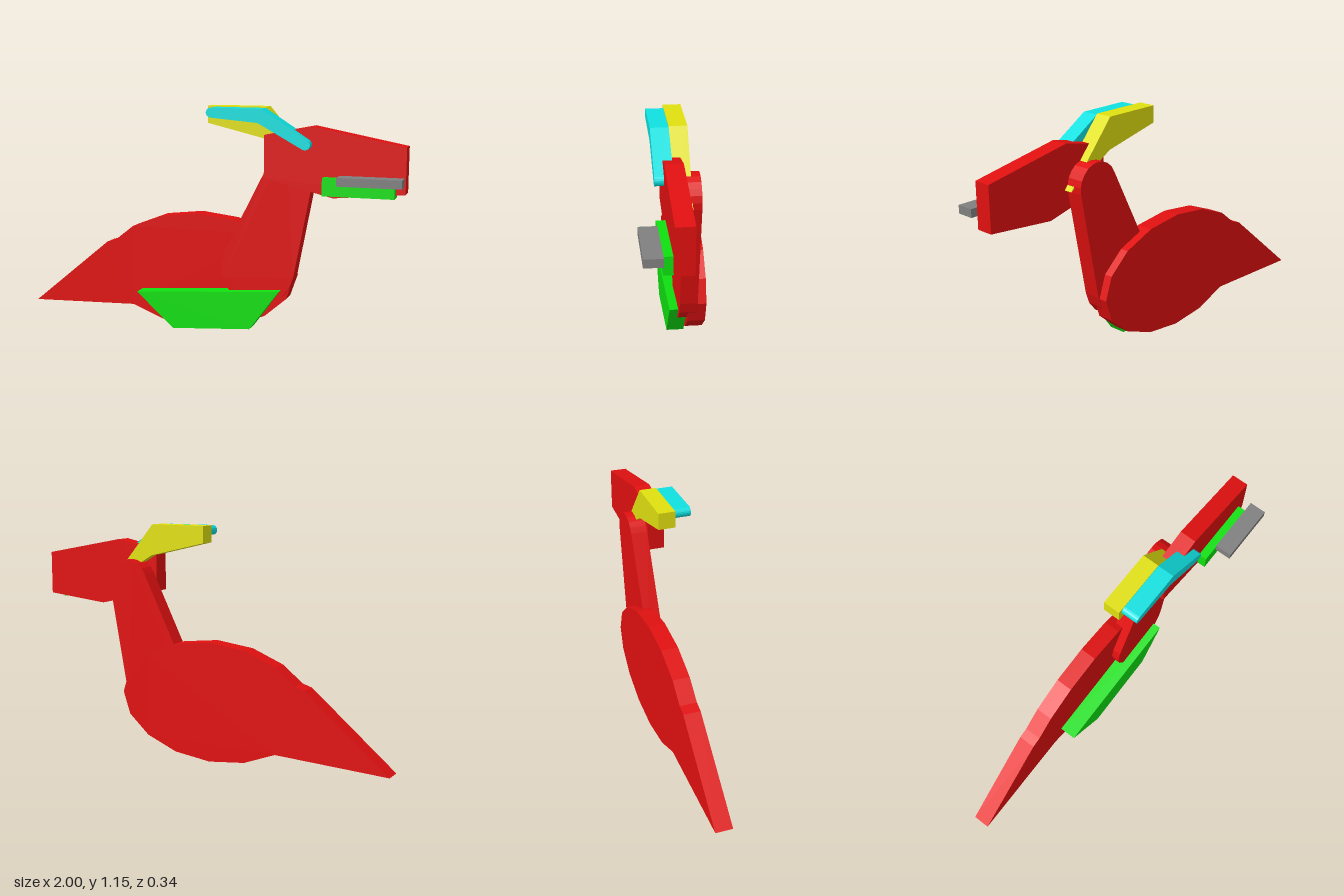
import * as THREE from 'three';

const paint = (name, color) => {
  const m = new THREE.MeshStandardMaterial({ color });
  m.name = name;
  return m;
};

// Points along an arc of an ellipse, angles in degrees
function arc(cx, cy, rx, ry, from, to, steps) {
  const pts = [];
  for (let i = 0; i <= steps; i++) {
    const a = THREE.MathUtils.degToRad(from + ((to - from) * i) / steps);
    pts.push([cx + rx * Math.cos(a), cy + ry * Math.sin(a)]);
  }
  return pts;
}

export function createModel() {
  const red = paint('red', 0xe01010);
  const green = paint('green', 0x10e010);
  const yellow = paint('yellow', 0xe0e010);
  const cyan = paint('cyan', 0x10e0e0);
  const grey = paint('grey', 0x808080);

  const group = new THREE.Group();
  const T = 0.085; // thickness of every layer

  // A flat plate cut from an outline, with its back face at z
  function plate(name, points, z, material) {
    const shape = new THREE.Shape(points.map(([x, y]) => new THREE.Vector2(x, y)));
    const geo = new THREE.ExtrudeGeometry(shape, { depth: T, bevelEnabled: false });
    geo.translate(0, 0, z);
    const mesh = new THREE.Mesh(geo, material);
    mesh.name = name;
    group.add(mesh);
  }
  const rect = (x0, y0, x1, y1) => [[x0, y0], [x1, y0], [x1, y1], [x0, y1]];

  // Oval body running into the pointed tail
  plate('bodyAndTail', [
    ...arc(-0.065, 0.298, 0.51, 0.298, -135, 135, 12),
    [-0.525, 0.43], [-0.575, 0.415], [-1, 0.065],
  ], -0.17, red);

  // Tapered neck with round ends
  plate('neck', [
    ...arc(0.265, 0.34, 0.19, 0.19, 160, 350, 10),
    ...arc(0.44, 0.86, 0.112, 0.112, -10, 156, 10),
  ], -0.1275, red);

  plate('head', [
    [0.32, 0.81], [0.66, 0.728], [1, 0.76], [1, 0.98], [0.555, 1.065], [0.32, 1.018],
  ], -0.0425, red);

  plate('wing', [[-0.37, 0.18], [-0.17, 0.003], [0.24, 0.035], [0.39, 0.24]], -T, green);
  plate('jaw', rect(0.615, 0.742, 0.955, 0.828), 0, green);
  plate('mouthBar', rect(0.7, 0.803, 1, 0.843), T, grey);

  plate('crest', [
    [0.02, 1.066], [0.32, 0.995], [0.57, 0.85], [0.315, 1.15], [0.02, 1.15],
  ], -T, yellow);

  // Bent horn with round ends
  plate('horn', [
    ...arc(0.062, 1.122, 0.024, 0.024, 90, 265, 8),
    [0.298, 1.078],
    ...arc(0.53, 0.98, 0.025, 0.025, -120, 60, 8),
    [0.316, 1.145],
  ], 0, cyan);

  return group;
}
